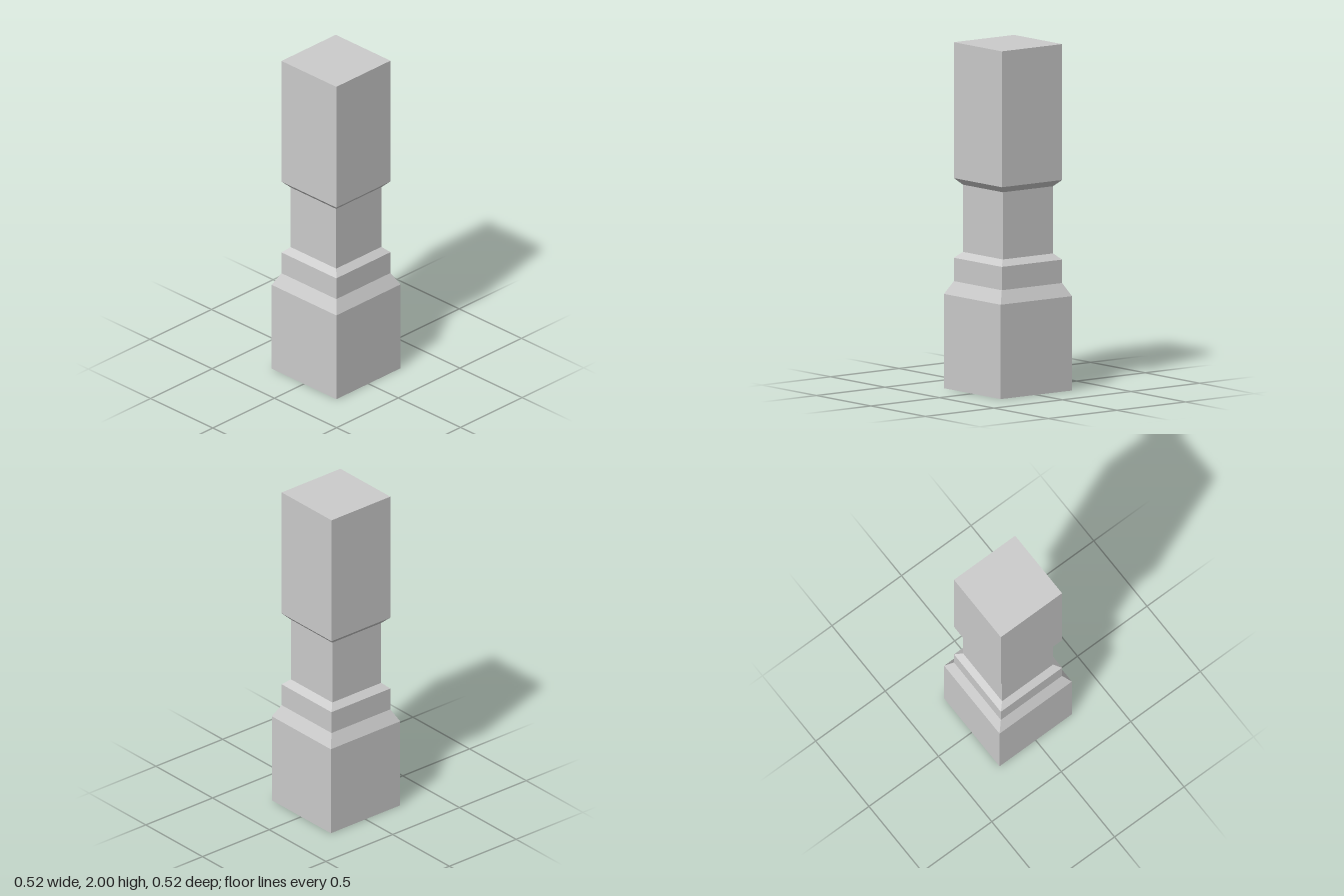
import * as THREE from 'three';

const material = new THREE.MeshStandardMaterial({ color: 0xcccccc, flatShading: true });

// Square section swept along a profile of [half width, height], bottom to top
function squareSection(name, profile) {
  const points = profile.map(([half, y]) => new THREE.Vector2(half * Math.SQRT2, y));
  const mesh = new THREE.Mesh(new THREE.LatheGeometry(points, 4, Math.PI / 4), material);
  mesh.name = name;
  return mesh;
}

export function createModel() {
  const group = new THREE.Group();
  group.name = 'squarePost';
  group.add(
    // Wide foot with a sloped shoulder, closed underneath
    squareSection('base', [[0, 0], [0.26, 0], [0.26, 0.545], [0.22, 0.62]]),
    // Band with a chamfered upper edge
    squareSection('collar', [[0.22, 0.62], [0.22, 0.755], [0.183, 0.79]]),
    // Recessed waist
    squareSection('neck', [[0.183, 0.79], [0.183, 1.178]]),
    // Upper block with a chamfered lower edge, closed on top
    squareSection('upperBlock', [[0.183, 1.178], [0.22, 1.215], [0.22, 2], [0, 2]]),
  );
  return group;
}
